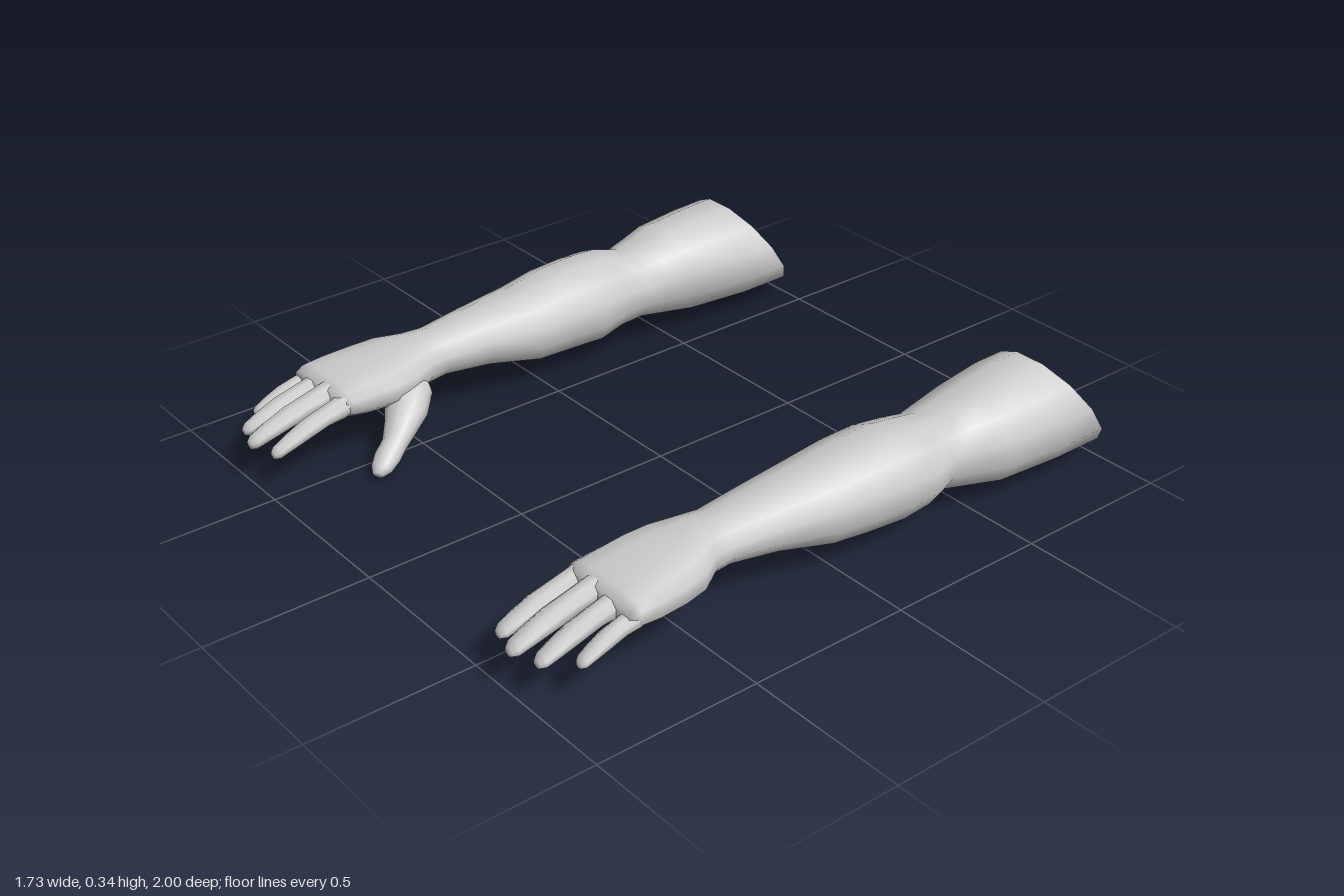
import * as THREE from 'three';

const material = new THREE.MeshStandardMaterial({ color: 0xcccccc, side: THREE.DoubleSide });

// Skin through rings along z: [z, centre x, centre y, half width, half height, slant, squareness]
function loft(rings, sides) {
  const pos = [], index = [];
  for (const [z, cx, cy, rx, ry, slant = 0, power = 1] of rings) {
    for (let j = 0; j < sides; j++) {
      const a = ((j + 0.5) / sides) * Math.PI * 2;
      const c = Math.cos(a), s = Math.sin(a);
      pos.push(
        cx + rx * Math.sign(c) * Math.abs(c) ** power,
        cy + ry * Math.sign(s) * Math.abs(s) ** power,
        z + slant * s);
    }
  }
  for (let i = 0; i < rings.length - 1; i++) {
    for (let j = 0; j < sides; j++) {
      const a = i * sides + j, b = i * sides + ((j + 1) % sides);
      index.push(a, b, a + sides, b, b + sides, a + sides);
    }
  }
  // Close the far end
  const [z, cx, cy] = rings[rings.length - 1];
  const base = (rings.length - 1) * sides, centre = pos.length / 3;
  pos.push(cx, cy, z + 0.004);
  for (let j = 0; j < sides; j++) index.push(base + j, base + ((j + 1) % sides), centre);
  const geo = new THREE.BufferGeometry();
  geo.setAttribute('position', new THREE.Float32BufferAttribute(pos, 3));
  geo.setIndex(index);
  geo.computeVertexNormals();
  return geo;
}

// Reflect across x = 0 and turn the faces back outwards
function mirror(geo) {
  const m = geo.clone().scale(-1, 1, 1);
  const id = m.index.array;
  for (let i = 0; i < id.length; i += 3) [id[i], id[i + 1]] = [id[i + 1], id[i]];
  m.computeVertexNormals();
  return m;
}

// Open sleeve end, upper arm, elbow, forearm, wrist and palm in one skin
function armGeometry() {
  return loft([
    [-0.90, 0.682, 0.203, 0.187, 0.161, 0.105],
    [-0.76, 0.680, 0.201, 0.187, 0.160, 0.055],
    [-0.57, 0.682, 0.198, 0.167, 0.150, 0.02],
    [-0.47, 0.675, 0.200, 0.145, 0.130],
    [-0.39, 0.670, 0.199, 0.130, 0.112],
    [-0.31, 0.682, 0.204, 0.150, 0.125],
    [-0.22, 0.673, 0.199, 0.156, 0.138],
    [-0.10, 0.669, 0.200, 0.152, 0.132],
    [0.02, 0.662, 0.195, 0.141, 0.120],
    [0.20, 0.657, 0.210, 0.115, 0.088],
    [0.35, 0.652, 0.212, 0.096, 0.070],
    [0.42, 0.650, 0.212, 0.103, 0.070, 0, 0.9],
    [0.49, 0.657, 0.204, 0.138, 0.072, 0, 0.85],
    [0.56, 0.659, 0.200, 0.148, 0.068, 0, 0.8],
    [0.65, 0.664, 0.198, 0.148, 0.058, 0, 0.7],
    [0.71, 0.666, 0.199, 0.146, 0.047, 0, 0.65],
    [0.74, 0.666, 0.198, 0.132, 0.032, 0, 0.65],
  ], 12);
}

// Tapering finger from knuckle to rounded tip
function fingerGeometry({ x, tipX, baseY, tipY, tipZ, r }) {
  const z0 = 0.66;
  const steps = [[0, 0.8], [0.22, 1.08], [0.4, 0.98], [0.62, 1], [0.82, 0.88], [0.94, 0.75], [0.985, 0.45]];
  return loft(steps.map(([t, k]) => [
    z0 + (tipZ - z0) * t,
    x + (tipX - x) * t,
    baseY + (tipY - baseY) * t + 0.014 * Math.sin(Math.PI * t),
    r * k,
    r * k * (1 - 0.22 * t),
  ]), 8);
}

// Thumb with its fleshy base, lofted straight and then aimed outwards and down
function thumbGeometry() {
  const geo = loft([
    [-0.10, 0.04, 0.00, 0.030, 0.035],
    [-0.04, 0.02, 0.00, 0.065, 0.060],
    [0.04, 0.008, 0.00, 0.067, 0.060],
    [0.11, 0.000, 0.00, 0.050, 0.046],
    [0.17, -0.004, 0.00, 0.038, 0.036],
    [0.22, 0.000, 0.00, 0.039, 0.034],
    [0.26, 0.002, 0.00, 0.032, 0.027],
    [0.283, 0.004, 0.00, 0.018, 0.014],
  ], 10);
  const aim = new THREE.Object3D();
  aim.position.set(0.545, 0.15, 0.495);
  aim.lookAt(0.402, 0.028, 0.715);
  aim.updateMatrix();
  return geo.applyMatrix4(aim.matrix);
}

const fingers = {
  IndexFinger: { x: 0.562, tipX: 0.552, baseY: 0.205, tipY: 0.122, tipZ: 0.968, r: 0.034 },
  MiddleFinger: { x: 0.636, tipX: 0.636, baseY: 0.212, tipY: 0.128, tipZ: 0.996, r: 0.037 },
  RingFinger: { x: 0.710, tipX: 0.717, baseY: 0.205, tipY: 0.125, tipZ: 0.968, r: 0.034 },
  LittleFinger: { x: 0.775, tipX: 0.786, baseY: 0.190, tipY: 0.128, tipZ: 0.892, r: 0.029 },
};

export function createModel() {
  const model = new THREE.Group();
  model.name = 'pairOfArms';
  const parts = { Arm: armGeometry(), Thumb: thumbGeometry() };
  for (const name in fingers) parts[name] = fingerGeometry(fingers[name]);

  for (const side of ['left', 'right']) {
    const limb = new THREE.Group();
    limb.name = side + 'Limb';
    for (const name in parts) {
      const mesh = new THREE.Mesh(side === 'left' ? parts[name] : mirror(parts[name]), material);
      mesh.name = side + name;
      limb.add(mesh);
    }
    model.add(limb);
  }
  return model;
}
